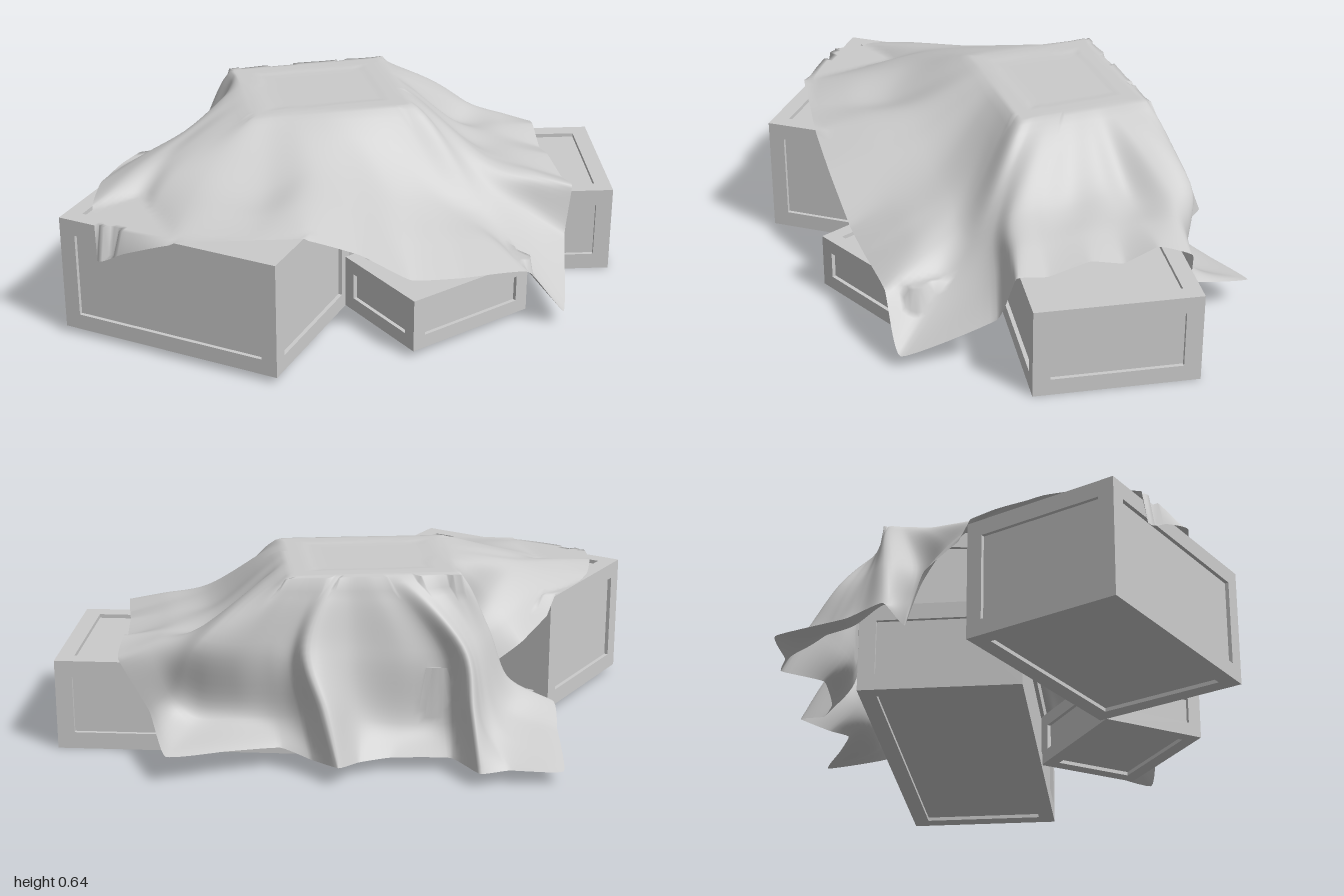
import * as THREE from 'three';

const material = new THREE.MeshStandardMaterial({ color: 0xcccccc });
const clothMaterial = new THREE.MeshStandardMaterial({ color: 0xcccccc, side: THREE.DoubleSide });
const V = (x, y, z) => new THREE.Vector3(x, y, z);

const crates = [
  { name: 'largeCrate', size: [0.832, 0.428, 0.575], at: [-0.5, 0.025, 0.352], turn: -0.5, margin: 0.058 },
  { name: 'smallCrate', size: [0.51, 0.197, 0.4], at: [0.312, 0.025, 0.356], turn: 0.56, margin: 0.05 },
  { name: 'longCrate', size: [1.405, 0.325, 0.575], at: [0.297, 0, -0.232], turn: 0, margin: 0.06 },
  { name: 'topCrate', size: [0.57, 0.303, 0.47], at: [-0.07, 0.327, -0.24], turn: 0.15, margin: 0.058 },
];

// Rectangular frame with an opening, extruded outwards along +z
function frameGeometry(w, h, margin, depth) {
  const rect = (path, a, b) =>
    path.moveTo(-a, -b).lineTo(a, -b).lineTo(a, b).lineTo(-a, b).closePath();
  const shape = rect(new THREE.Shape(), w / 2, h / 2);
  shape.holes.push(rect(new THREE.Path(), w / 2 - margin, h / 2 - margin));
  return new THREE.ExtrudeGeometry(shape, { depth, bevelEnabled: false });
}

// Crate with a recessed panel on all six faces
function makeCrate({ name, size: [w, h, d], at: [x, y, z], turn, margin }) {
  const recess = 0.014;
  const group = new THREE.Group();
  group.name = name;
  const core = new THREE.Mesh(
    new THREE.BoxGeometry(w - 2 * recess, h - 2 * recess, d - 2 * recess), material);
  core.name = 'panels';
  group.add(core);
  const faces = [
    [w, h, d, 0, 0], [w, h, d, 0, Math.PI],
    [d, h, w, 0, Math.PI / 2], [d, h, w, 0, -Math.PI / 2],
    [w, d, h, Math.PI / 2, 0], [w, d, h, -Math.PI / 2, 0],
  ];
  for (const [fw, fh, dist, rx, ry] of faces) {
    const geo = frameGeometry(fw, fh, margin, recess);
    geo.translate(0, 0, dist / 2 - recess).rotateX(rx).rotateY(ry);
    const frame = new THREE.Mesh(geo, material);
    frame.name = 'frame';
    group.add(frame);
  }
  group.position.set(x, y + h / 2, z);
  group.rotation.y = turn;
  return group;
}

// Cloth: each row is a fold line with a middle point, an optional foot point and a hem point.
// The sides run front, left, back, right around the flat top.
const TOP_Y = 0.642;
const corners = [V(0.27, TOP_Y, -0.04), V(-0.33, TOP_Y, 0.04), V(-0.4, TOP_Y, -0.43), V(0.18, TOP_Y, -0.52)];
const front = [
  [0.5, 0.32, 0.17, 0.76, 0.05, 0.46],
  [0.4, 0.34, 0.2, 0.62, 0.23, 0.49],
  [0.28, 0.39, 0.2, 0.38, 0.235, 0.53],
  [0.15, 0.42, 0.24, 0.2, 0.25, 0.56],
  [0, 0.5, 0.27, 0.02, 0.38, 0.61],
  [-0.13, 0.54, 0.28, -0.17, 0.46, 0.64],
  [-0.3, 0.5, 0.34, -0.35, 0.465, 0.64],
];
const left = [
  [-0.48, 0.54, 0.26, -0.62, 0.455, 0.64],
  [-0.6, 0.53, 0.24, -0.78, 0.39, 0.57],
  [-0.62, 0.54, 0.16, -0.87, 0.34, 0.52],
  [-0.62, 0.55, 0.08, -0.89, 0.47, 0.36],
  [-0.6, 0.56, 0, -0.87, 0.47, 0.17],
  [-0.57, 0.55, -0.08, -0.8, 0.45, 0],
  [-0.5, 0.5, -0.2, -0.62, 0.34, -0.26],
  [-0.44, 0.45, -0.3, -0.45, 0.22, -0.35],
];
const back = [
  [-0.5, 0.45, -0.42, -0.58, 0.25, -0.4, -0.73, 0.17, -0.38],
  [-0.47, 0.43, -0.47, -0.56, 0.18, -0.5, -0.745, 0.11, -0.5],
  [-0.45, 0.42, -0.5, -0.54, 0.16, -0.59, -0.76, 0.05, -0.73],
  [-0.44, 0.41, -0.54, -0.5, 0.16, -0.64, -0.58, 0.05, -0.735],
  [-0.42, 0.42, -0.58, -0.45, 0.24, -0.68, -0.48, 0.05, -0.77],
  [-0.34, 0.38, -0.53, -0.37, 0.14, -0.56, -0.38, 0.05, -0.64],
  [-0.2, 0.39, -0.545, -0.2, 0.14, -0.57, -0.18, 0.05, -0.65],
  [-0.04, 0.4, -0.56, -0.06, 0.17, -0.61, -0.07, 0.05, -0.7],
  [0.11, 0.43, -0.63, 0.04, 0.24, -0.73, -0.01, 0.07, -0.8],
  [0.17, 0.4, -0.58, 0.13, 0.18, -0.62, 0.09, 0.06, -0.71],
  [0.24, 0.42, -0.58, 0.22, 0.16, -0.58, 0.2, 0.08, -0.66],
];
const right = [
  [0.34, 0.42, -0.61, 0.36, 0.16, -0.575, 0.38, 0.09, -0.73],
  [0.44, 0.43, -0.62, 0.5, 0.17, -0.58, 0.57, 0.1, -0.81],
  [0.48, 0.44, -0.61, 0.59, 0.25, -0.575, 0.66, 0.17, -0.58],
  [0.5, 0.45, -0.52, 0.77, 0.345, -0.54],
  [0.47, 0.42, -0.4, 0.77, 0.39, -0.42],
  [0.47, 0.45, -0.3, 0.78, 0.345, -0.3],
  [0.5, 0.43, -0.18, 0.79, 0.37, -0.18],
  [0.53, 0.44, -0.06, 0.82, 0.345, -0.03],
  [0.55, 0.43, 0.04, 0.84, 0.36, 0.08],
  [0.53, 0.37, 0.1, 0.81, 0.19, 0.14],
];

// Lift a cloth point so that it rests on any crate below it
function restOnCrates(p) {
  const gap = 0.02;
  for (const { size: [w, h, d], at: [x, y, z], turn } of crates) {
    const dx = p.x - x, dz = p.z - z, c = Math.cos(turn), s = Math.sin(turn);
    const inside = Math.abs(c * dx - s * dz) < w / 2 + gap && Math.abs(s * dx + c * dz) < d / 2 + gap;
    if (inside) p.y = Math.max(p.y, y + h + 0.012);
  }
  p.y = Math.min(p.y, TOP_Y + 0.003);
  return p;
}

function clothGeometry() {
  const tops = [], mids = [], feet = [], hems = [];
  [front, left, back, right].forEach((side, s) => side.forEach((row, i) => {
    const mid = V(...row.slice(0, 3)), hem = V(...row.slice(-3));
    tops.push(corners[s].clone().lerp(corners[(s + 1) % 4], i / side.length));
    mids.push(mid);
    feet.push(row.length === 9 ? V(...row.slice(3, 6)) : mid.clone().lerp(hem, 0.55));
    hems.push(hem);
  }));
  const around = tops.length * 8, along = 44;
  const [topRing, midRing, footRing] = [tops, mids, feet].map(p => new THREE.CatmullRomCurve3(p, true));
  const hemRing = new THREE.CatmullRomCurve3(hems, true, 'catmullrom', 0.2);
  const centre = V(-0.07, TOP_Y, -0.24);
  const positions = [], index = [];
  for (let i = 0; i < around; i++) {
    const t = i / around;
    const top = topRing.getPoint(t);
    const line = new THREE.CatmullRomCurve3([
      centre, centre.clone().lerp(top, 0.6), centre.clone().lerp(top, 0.98),
      midRing.getPoint(t), footRing.getPoint(t), hemRing.getPoint(t),
    ]);
    for (let k = 0; k <= along; k++) {
      positions.push(...restOnCrates(line.getPoint(k / along)).toArray());
      if (k === along) continue;
      const a = i * (along + 1) + k, b = ((i + 1) % around) * (along + 1) + k;
      index.push(a, b + 1, a + 1);
      if (k > 0) index.push(a, b, b + 1);
    }
  }
  const geo = new THREE.BufferGeometry();
  geo.setAttribute('position', new THREE.Float32BufferAttribute(positions, 3));
  geo.setIndex(index);
  geo.computeVertexNormals();
  // The centre is shared by every line, so it simply faces up
  for (let i = 0; i < around; i++) geo.attributes.normal.setXYZ(i * (along + 1), 0, 1, 0);
  return geo;
}

export function createModel() {
  const model = new THREE.Group();
  model.name = 'coveredCrates';
  model.add(...crates.map(makeCrate));
  const cloth = new THREE.Mesh(clothGeometry(), clothMaterial);
  cloth.name = 'drapedCloth';
  model.add(cloth);
  return model;
}
